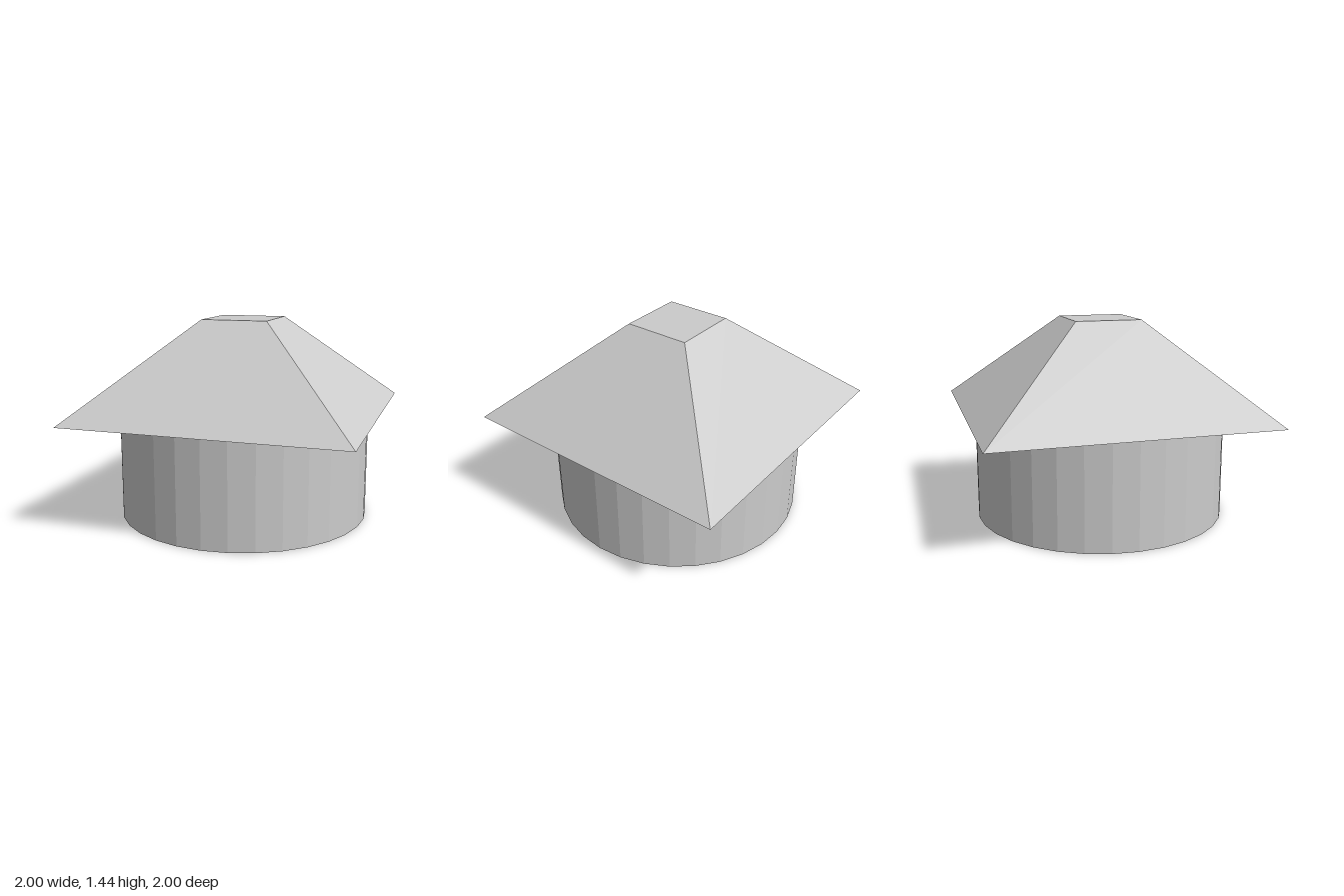
import * as THREE from 'three';

const WALL_HEIGHT = 0.767;
const ROOF_HEIGHT = 0.673;

export function createModel() {
  const model = new THREE.Group();
  model.name = 'roundHut';
  const material = new THREE.MeshStandardMaterial({ color: 0xcccccc, flatShading: true });

  // Round wall, closed at the bottom
  const wall = new THREE.Mesh(new THREE.CylinderGeometry(0.917, 0.917, WALL_HEIGHT, 32), material);
  wall.name = 'wall';
  wall.position.y = WALL_HEIGHT / 2;
  model.add(wall);

  // Square roof with a flat top: a four-sided cone frustum turned to face the axes
  const roofGeometry = new THREE.CylinderGeometry(0.24 * Math.SQRT2, Math.SQRT2, ROOF_HEIGHT, 4);
  roofGeometry.rotateY(Math.PI / 4);
  const roof = new THREE.Mesh(roofGeometry, material);
  roof.name = 'roof';
  roof.position.y = WALL_HEIGHT + ROOF_HEIGHT / 2;
  model.add(roof);

  return model;
}
